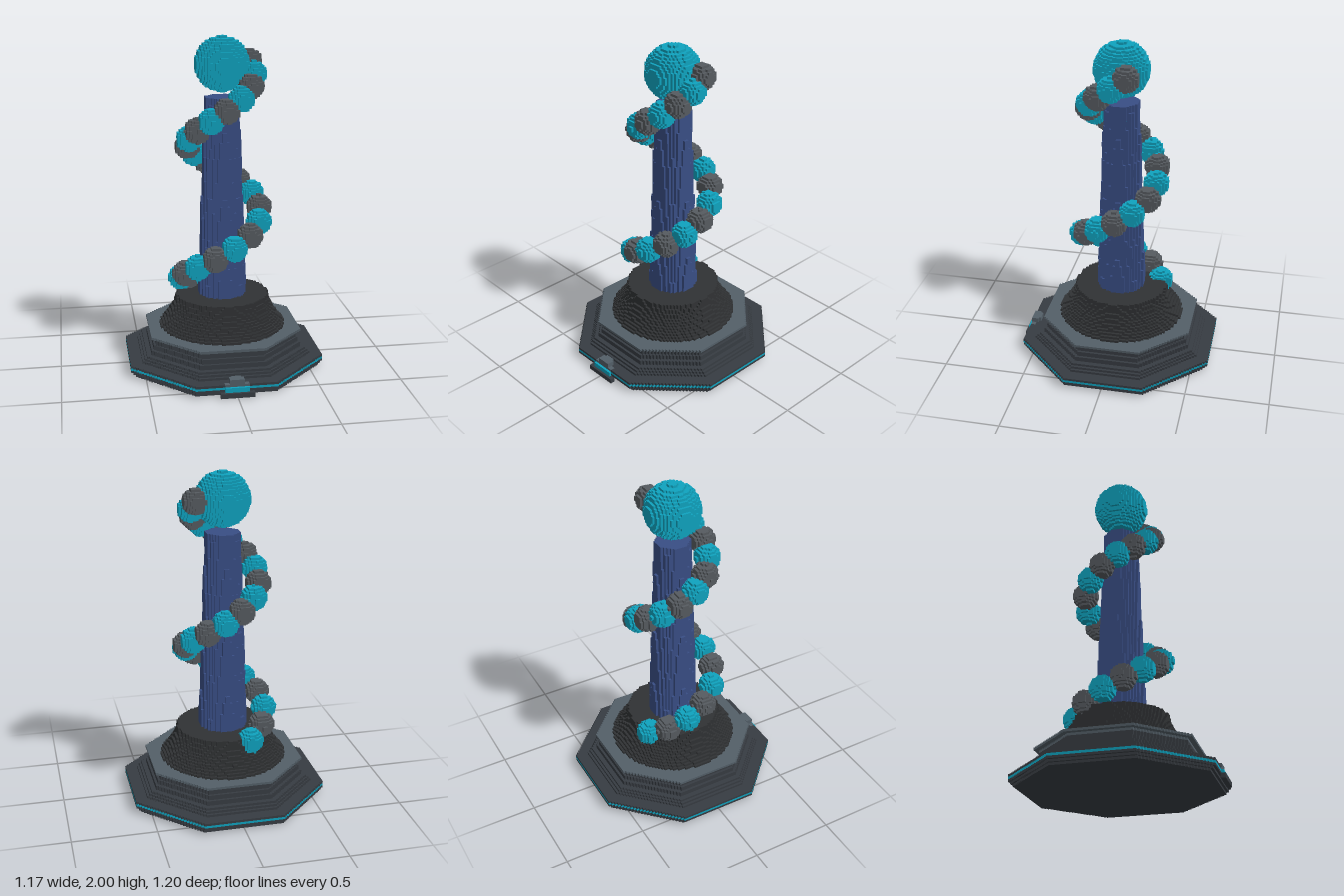
import * as THREE from 'three';

// The model is made of small cubes; all part sizes below are in cubes.
const CUBE = 1 / 70;
const NX = 90, NY = 140, NZ = 90;      // grid size; x and z run from -45 to 44
const CZ = -1;                         // z of the tower's axis

const mat = (name, color) => {
  const m = new THREE.MeshStandardMaterial({ color });
  m.name = name;
  return m;
};

export function createModel() {
  const rimDark = mat('dark steel', 0x373c42);
  const coneDark = mat('charcoal', 0x303234);
  const slate = mat('slate', 0x535f68);
  const teal = mat('teal', 0x0fa3bf);
  const beadGrey = mat('bead grey', 0x565b60);
  const blue = mat('column blue', 0x394e85);

  const grid = new Uint8Array(NX * NY * NZ);
  const parts = [null];
  const part = (name, material) => parts.push({ name, material }) - 1;
  const cell = (x, y, z) => (y * NZ + z + 45) * NX + x + 45;
  const at = (x, y, z) =>
    x < -45 || x > 44 || y < 0 || y >= NY || z < -45 || z > 44 ? 0 : grid[cell(x, y, z)];

  // Fill the cubes in a range whose centre passes the test
  function fill(id, [x0, x1], [y0, y1], [z0, z1], inside = () => true) {
    for (let y = Math.max(0, y0); y < Math.min(NY, y1); y++)
      for (let z = z0; z < z1; z++)
        for (let x = x0; x < x1; x++)
          if (inside(x + 0.5, y + 0.5, z + 0.5)) grid[cell(x, y, z)] = id;
  }
  const WIDE = [-45, 45];

  function octagon(id, y0, y1, half) {
    fill(id, WIDE, [y0, y1], WIDE, (x, y, z) => {
      const a = Math.abs(x), b = Math.abs(z - CZ);
      return a < half && b < half && a + b < half * Math.SQRT2;
    });
  }

  // Round part whose radius depends on height
  function round(id, y0, y1, radius) {
    fill(id, WIDE, [y0, y1], WIDE, (x, y, z) =>
      Math.hypot(x, z - CZ) < radius((y - y0) / (y1 - y0)));
  }

  function ball(id, cx, cy, cz, r) {
    const span = c => [Math.floor(c - r) - 1, Math.ceil(c + r) + 1];
    fill(id, span(cx), span(cy), span(cz), (x, y, z) =>
      Math.hypot(x - cx, y - cy, z - cz) < r);
  }

  // Octagonal base with a glowing band and stepped sides
  const base = part('base', rimDark);
  const band = part('baseBand', teal);
  [[0, 1, 39], [1, 2, 40], [2, 5, 41], [5, 6, 36], [6, 7, 35], [7, 8, 34], [8, 10, 32.5],
    [10, 12, 31], [12, 14, 30]].forEach(([y0, y1, half]) => octagon(base, y0, y1, half));
  octagon(band, 3, 4, 41);

  // Ledge plate on the base
  const ledge = part('ledge', slate);
  octagon(ledge, 14, 15, 30);
  octagon(ledge, 15, 16, 32.4);

  // Flared round pedestal and tapered column
  round(part('pedestal', coneDark), 16, 30, t => 19.6 + 7.6 * Math.pow(1 - t, 1.7));
  round(part('column', blue), 30, 115, t => 10.1 - 3.1 * t);

  // Step and latch at the front
  fill(part('frontStep', rimDark), [-7, 7], [0, 2], [40, 42]);
  fill(band, [-5, 5], [2, 4], [40, 41]);
  const latch = part('frontLatch', slate);
  fill(latch, [-5, 5], [4, 5], [38, 40]);
  fill(latch, [-3, 3], [5, 7], [37, 40]);
  fill(latch, [-2, 2], [5, 7], [36, 37]);

  // Spiral of alternating beads, drawing in as it climbs
  const beads = [part('tealBeads', teal), part('greyBeads', beadGrey)];
  for (let k = -6; k <= 17; k++) {
    const angle = THREE.MathUtils.degToRad(9.5 + 27 * k);
    const r = 16.8 - 0.235 * k;
    ball(beads[Math.abs(k) % 2], r * Math.sin(angle), 54.25 + 4.39 * k,
      CZ + r * Math.cos(angle), 5.15);
  }

  // Large ball on top
  ball(part('topBall', teal), 0, 128.5, CZ, 11.15);

  // Skin each part with its exposed faces, joined into strips
  const lo = [-45, 0, -45], hi = [45, NY, 45];
  const pos = parts.map(() => []), idx = parts.map(() => []);
  for (let d = 0; d < 3; d++) {
    const u = (d + 1) % 3, w = (d + 2) % 3;
    for (const sign of [1, -1]) {
      const p = [0, 0, 0];
      const exposed = () => {
        const id = at(...p);
        if (!id) return 0;
        const q = [...p];
        q[d] += sign;
        return at(...q) ? 0 : id;
      };
      const strip = (id, start, end) => {
        const n = pos[id].length / 3;
        for (const [a, b] of [[start, 0], [end, 0], [end, 1], [start, 1]]) {
          const v = [0, 0, 0];
          v[d] = p[d] + (sign > 0 ? 1 : 0);
          v[u] = a;
          v[w] = p[w] + b;
          pos[id].push(v[0] * CUBE, v[1] * CUBE, v[2] * CUBE);
        }
        if (sign > 0) idx[id].push(n, n + 1, n + 2, n, n + 2, n + 3);
        else idx[id].push(n, n + 2, n + 1, n, n + 3, n + 2);
      };
      for (p[d] = lo[d]; p[d] < hi[d]; p[d]++)
        for (p[w] = lo[w]; p[w] < hi[w]; p[w]++) {
          let run = 0, start = 0;
          for (p[u] = lo[u]; p[u] <= hi[u]; p[u]++) {
            const id = p[u] < hi[u] ? exposed() : 0;
            if (id === run) continue;
            if (run) strip(run, start, p[u]);
            run = id;
            start = p[u];
          }
        }
    }
  }

  const model = new THREE.Group();
  model.name = 'spiralTower';
  parts.forEach((info, id) => {
    if (!info) return;
    const g = new THREE.BufferGeometry();
    g.setAttribute('position', new THREE.Float32BufferAttribute(pos[id], 3));
    g.setIndex(idx[id]);
    g.computeVertexNormals();
    const mesh = new THREE.Mesh(g, info.material);
    mesh.name = info.name;
    model.add(mesh);
  });
  return model;
}
